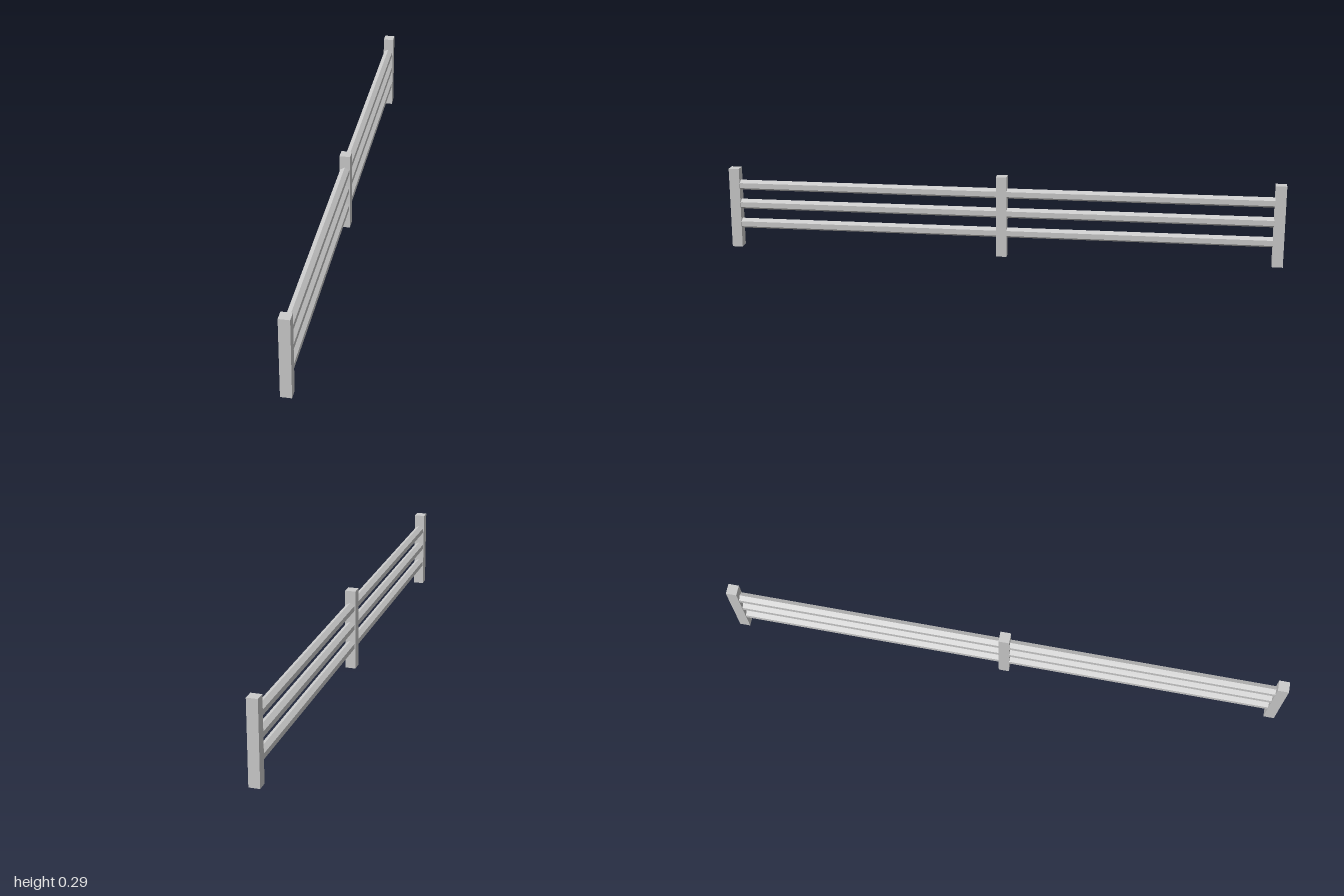
import * as THREE from 'three';

export function createModel() {
  const fence = new THREE.Group();
  fence.name = 'railFence';
  const material = new THREE.MeshStandardMaterial({ color: 0xcccccc, flatShading: true });

  const postHeight = 0.295, postWidth = 0.038;
  const postSpacing = 1 - postWidth / 2;
  const railRadius = 0.0187;

  // Square posts at both ends and in the middle
  const postGeometry = new THREE.BoxGeometry(postWidth, postHeight, postWidth);
  for (const i of [-1, 0, 1]) {
    const post = new THREE.Mesh(postGeometry, material);
    post.name = 'post';
    post.position.set(0, postHeight / 2, i * postSpacing);
    fence.add(post);
  }

  // Three hexagonal rails between each pair of posts, one edge pointing up
  const railGeometry = new THREE.CylinderGeometry(railRadius, railRadius, postSpacing - postWidth, 6);
  railGeometry.rotateX(Math.PI / 2);
  for (const side of [-1, 1]) {
    for (const y of [0.087, 0.16, 0.232]) {
      const rail = new THREE.Mesh(railGeometry, material);
      rail.name = 'rail';
      rail.position.set(0, y, side * postSpacing / 2);
      fence.add(rail);
    }
  }
  return fence;
}
